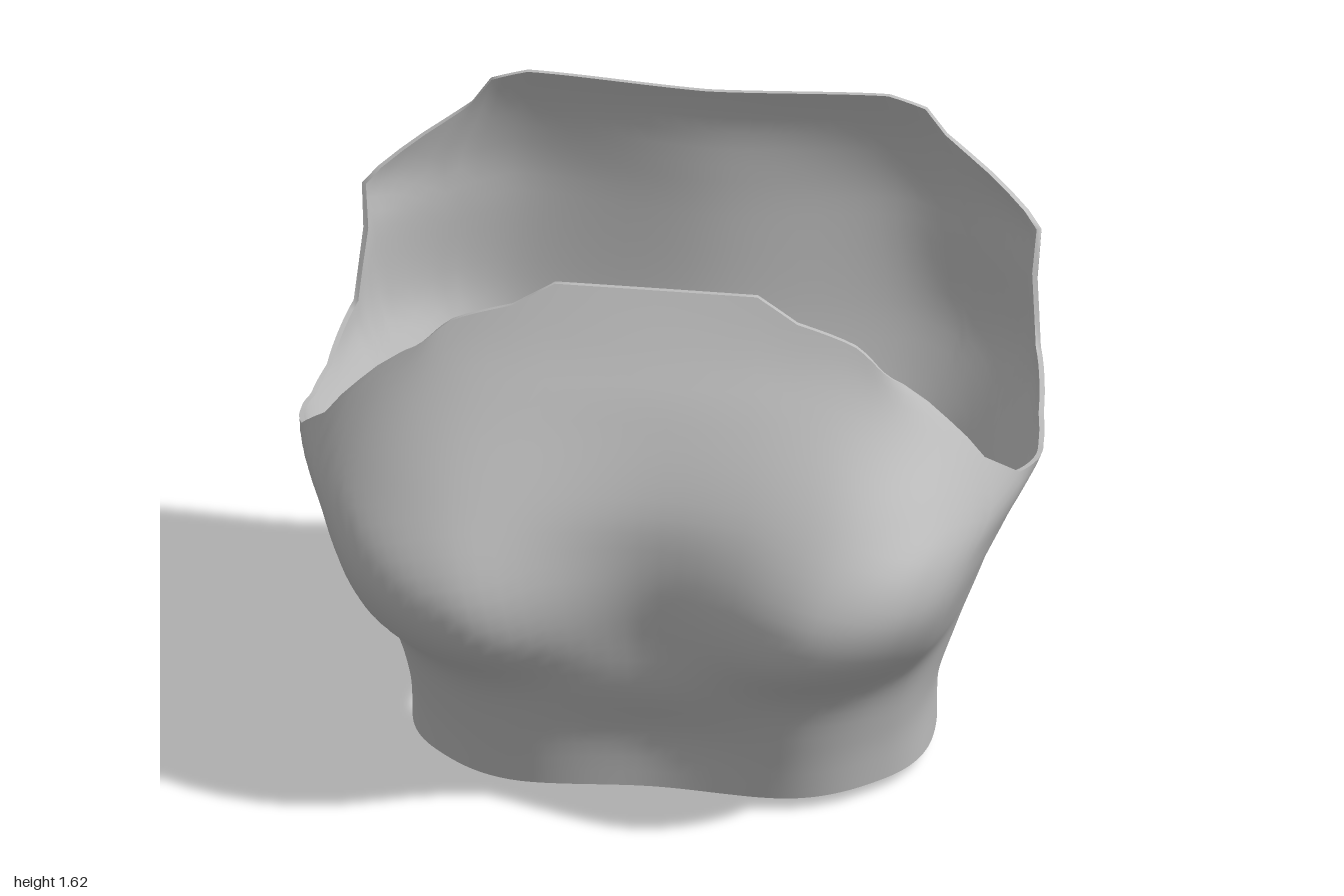
import * as THREE from 'three';

// Half cross-sections by height:
// [y, front centre z, bust z, front corner x, z, side x, back corner x, z, shoulder blade z, back centre z]
const SECTIONS = [
  [0.00, 0.38, 0.39, 0.595, 0.25, 0.69, 0.58, -0.37, -0.49, -0.50],
  [0.20, 0.41, 0.45, 0.62, 0.28, 0.70, 0.60, -0.40, -0.53, -0.53],
  [0.38, 0.51, 0.525, 0.66, 0.34, 0.755, 0.65, -0.44, -0.57, -0.56],
  [0.55, 0.55, 0.69, 0.74, 0.49, 0.82, 0.71, -0.47, -0.61, -0.595],
  [0.68, 0.58, 0.73, 0.79, 0.55, 0.87, 0.76, -0.48, -0.65, -0.62],
  [0.80, 0.59, 0.70, 0.835, 0.52, 0.93, 0.81, -0.50, -0.685, -0.65],
  [0.95, 0.575, 0.61, 0.89, 0.40, 0.995, 0.87, -0.52, -0.715, -0.675],
  [1.20, 0.465, 0.445, 0.80, 0.32, 0.95, 0.89, -0.52, -0.73, -0.69],
  [1.32, 0.395, 0.375, 0.68, 0.32, 0.95, 0.91, -0.52, -0.73, -0.69],
  [1.48, 0.31, 0.31, 0.60, 0.30, 0.90, 0.78, -0.57, -0.70, -0.68],
  [1.62, 0.25, 0.25, 0.55, 0.25, 0.85, 0.71, -0.58, -0.645, -0.625],
];

// Top edge height, from front centre (0) past the armhole (3 to 4) to back centre (7)
const RIM = [[0, 1.48], [0.5, 1.48], [0.7, 1.42], [1.1, 1.37], [1.7, 1.27], [1.9, 1.17], [2, 1.12], [2.1, 1.06],
  [2.5, 0.97], [3, 0.925], [3.45, 0.9], [4, 0.915], [4.7, 1.0], [4.9, 1.19], [5, 1.31], [5.3, 1.42],
  [5.6, 1.5], [5.7, 1.58], [6, 1.615], [7, 1.6]];

const COLUMNS = 140, ROWS = 32, THICKNESS = 0.014;

function rimHeight(u) {
  let i = 0;
  while (i < RIM.length - 2 && u > RIM[i + 1][0]) i++;
  const [a, b] = [RIM[i], RIM[i + 1]];
  return THREE.MathUtils.lerp(a[1], b[1], (u - a[0]) / (b[0] - a[0]));
}

// Smooth blend of the sections at height y
function sectionAt(y) {
  let i = 0;
  while (i < SECTIONS.length - 2 && y > SECTIONS[i + 1][0]) i++;
  const a = SECTIONS[i], b = SECTIONS[i + 1];
  const p = SECTIONS[Math.max(i - 1, 0)], q = SECTIONS[Math.min(i + 2, SECTIONS.length - 1)];
  const h = b[0] - a[0], t = (y - a[0]) / h, t2 = t * t, t3 = t2 * t;
  return a.map((v, k) => {
    const m0 = (b[k] - p[k]) / (b[0] - p[0]) * h, m1 = (q[k] - a[k]) / (q[0] - a[0]) * h;
    return (2 * t3 - 3 * t2 + 1) * v + (t3 - 2 * t2 + t) * m0 + (3 * t2 - 2 * t3) * b[k] + (t3 - t2) * m1;
  });
}

// Point on the half outline at height y, 0 = front centre, 7 = back centre
function outline(u, y) {
  const [, fc, fb, fx, fz, w, bx, bz, bb, bc] = sectionAt(y);
  const pts = [[0, fc], [0.55 * w, fb], [fx, fz], [w, 0.06], [0.975 * w, -0.22], [bx, bz], [0.57 * w, bb], [0, bc]];
  const at = (i) => (i < 0 ? [-pts[1][0], pts[1][1]] : i > 7 ? [-pts[6][0], pts[6][1]] : pts[i]);
  const i = Math.min(Math.floor(u), 6), t = u - i;
  return [0, 1].map((k) => {
    const [p, a, b, q] = [at(i - 1)[k], at(i)[k], at(i + 1)[k], at(i + 2)[k]];
    return 0.5 * (2 * a + (b - p) * t + (2 * p - 5 * a + 4 * b - q) * t * t + (3 * a - p - 3 * b + q) * t ** 3);
  });
}

// Grid of points closed around the body
function sheet(points, rows, flip) {
  const index = [];
  for (let j = 0; j < rows; j++) {
    for (let i = 0; i < COLUMNS; i++) {
      const n = (i + 1) % COLUMNS;
      const a = j * COLUMNS + i, b = j * COLUMNS + n, c = b + COLUMNS, d = a + COLUMNS;
      if (flip) index.push(a, c, b, a, d, c);
      else index.push(a, b, c, a, c, d);
    }
  }
  const g = new THREE.BufferGeometry();
  g.setAttribute('position', new THREE.Float32BufferAttribute(points.flatMap((p) => p.toArray()), 3));
  g.setIndex(index);
  g.computeVertexNormals();
  return g;
}

export function createModel() {
  const group = new THREE.Group();
  group.name = 'sleevelessTop';
  const cloth = new THREE.MeshStandardMaterial({ color: 0xbcbcbc });
  cloth.name = 'grey cloth';
  const add = (name, geometry) => {
    const mesh = new THREE.Mesh(geometry, cloth);
    mesh.name = name;
    group.add(mesh);
  };

  // Outer cloth surface, from the hem up to the shaped top edge
  const outer = [];
  for (let j = 0; j <= ROWS; j++) {
    for (let i = 0; i < COLUMNS; i++) {
      const s = (i / COLUMNS) * 14, u = s > 7 ? 14 - s : s;
      const hem = 0.035 * (1 - THREE.MathUtils.smoothstep(u, 4.6, 7));
      const y = THREE.MathUtils.lerp(hem, rimHeight(u), j / ROWS);
      const [x, z] = outline(u, y);
      outer.push(new THREE.Vector3(s > 7 ? -x : x, y, z));
    }
  }
  const outside = sheet(outer, ROWS, false);
  add('outerCloth', outside);

  // Lining, set in along the normals
  const normals = outside.attributes.normal;
  const inner = outer.map((p, k) => {
    const n = new THREE.Vector3().fromBufferAttribute(normals, k);
    n.y = 0;
    return p.clone().addScaledVector(n.normalize(), -THICKNESS);
  });
  add('lining', sheet(inner, ROWS, true));

  // Cloth thickness at the top edge and the hem
  const top = ROWS * COLUMNS;
  add('topEdge', sheet([...outer.slice(top), ...inner.slice(top)], 1, false));
  add('hemEdge', sheet([...outer.slice(0, COLUMNS), ...inner.slice(0, COLUMNS)], 1, true));
  return group;
}
